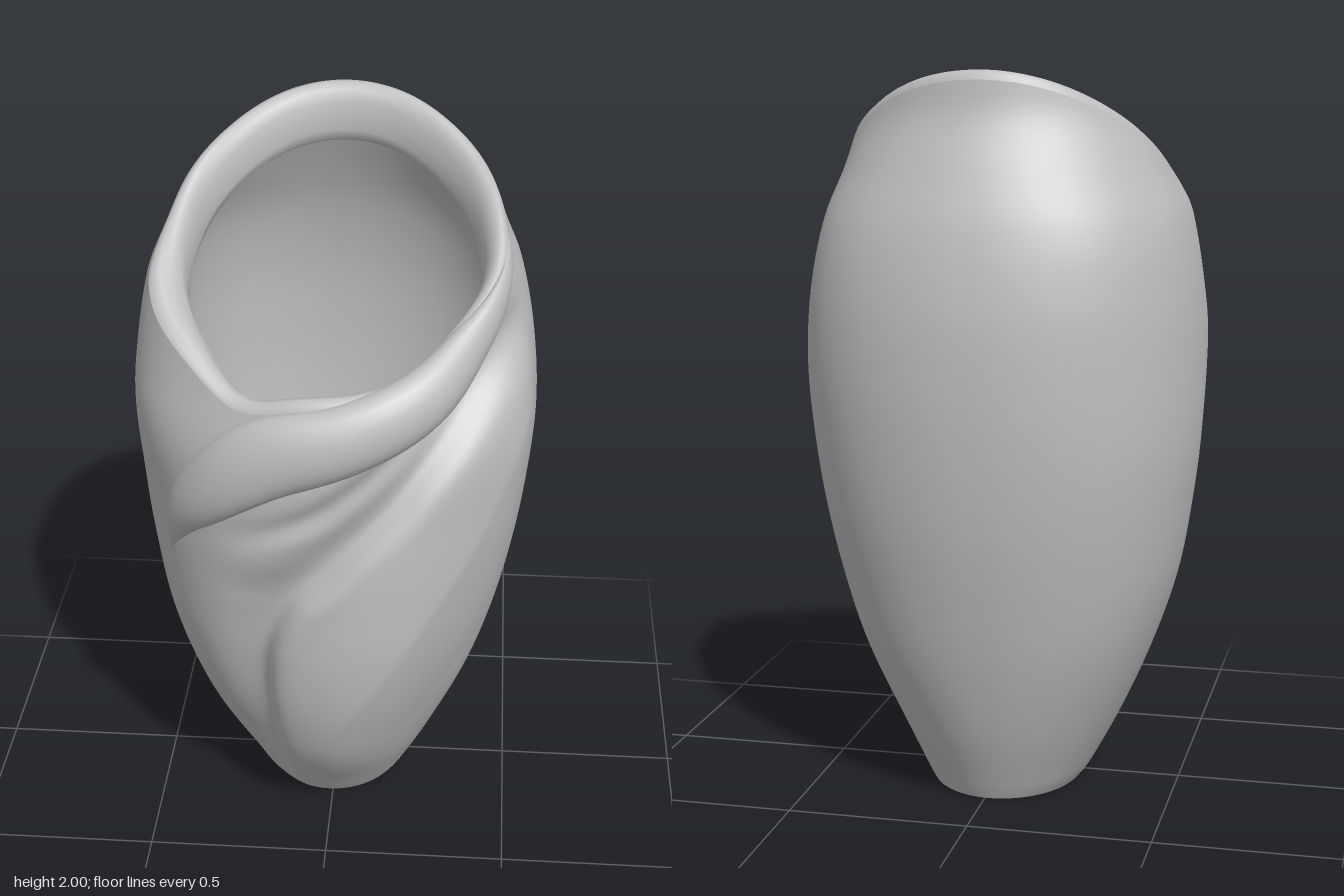
import * as THREE from 'three';

// Smooth interpolation through [position, value] pairs
function curve(pts) {
  const slope = (i) => {
    const a = pts[Math.max(0, i - 1)], b = pts[Math.min(pts.length - 1, i + 1)];
    return (b[1] - a[1]) / (b[0] - a[0]);
  };
  return (y) => {
    const x = Math.min(Math.max(y, pts[0][0]), pts[pts.length - 1][0]);
    let i = 0;
    while (i < pts.length - 2 && x > pts[i + 1][0]) i++;
    const [x0, v0] = pts[i], [x1, v1] = pts[i + 1], h = x1 - x0, t = (x - x0) / h;
    const a = t * t * (3 - 2 * t);
    return v0 + (v1 - v0) * a + h * t * (1 - t) * ((1 - t) * slope(i) - t * slope(i + 1));
  };
}
const smooth = THREE.MathUtils.smoothstep;
const gauss = (d, w) => Math.exp(-d * d / (w * w));

// Body outline: height, left, right, back, front
const outline = [
  [0, -0.22, 0.2, -0.29, 0.22], [0.03, -0.245, 0.218, -0.305, 0.245],
  [0.2, -0.335, 0.3, -0.375, 0.36], [0.4, -0.42, 0.39, -0.435, 0.445],
  [0.6, -0.485, 0.455, -0.48, 0.49], [0.8, -0.522, 0.5, -0.515, 0.505],
  [1.0, -0.545, 0.53, -0.535, 0.51], [1.2, -0.546, 0.545, -0.541, 0.505],
  [1.4, -0.53, 0.53, -0.53, 0.46], [1.6, -0.495, 0.49, -0.49, 0.42],
  [1.74, -0.445, 0.44, -0.437, 0.4], [1.88, -0.41, 0.41, -0.375, 0.4],
  [2.0, -0.4, 0.4, -0.355, 0.4],
];
const [left, right, back, front] = [1, 2, 3, 4].map((k) => curve(outline.map((r) => [r[0], r[k]])));

// Sweeping fold lines across the front, as x for each height
const valleyA = curve([[0, -0.14], [0.3, -0.19], [0.6, -0.2], [0.8, -0.13], [0.93, 0], [1.12, 0.2], [1.35, 0.4], [1.55, 0.5]]);
const valleyB = curve([[0.8, -0.33], [0.98, -0.22], [1.1, -0.02], [1.26, 0.2], [1.43, 0.4], [1.6, 0.5]]);
const ridge = curve([[0, 0], [0.35, 0.02], [0.65, 0.2], [0.95, 0.4], [1.2, 0.5], [1.5, 0.6]]);
function across(line, x, y) {
  const s = (line(y + 0.03) - line(y - 0.03)) / 0.06;
  return (x - line(y)) / Math.hypot(1, s);
}
function folds(x, y, facing) {
  const a = across(valleyA, x, y), b = across(valleyB, x, y), c = across(ridge, x, y);
  const d = -0.06 * gauss(a, a < 0 ? 0.09 : 0.045) * smooth(y, -0.05, 0.25)
    - 0.025 * gauss(b, 0.04) * smooth(y, 0.95, 1.12)
    + 0.025 * Math.max(0, 1 - Math.abs(c) / 0.22) * smooth(y, 0.05, 0.3);
  return d * smooth(facing, 0.05, 0.45) * (1 - smooth(y, 1.35, 1.6));
}

// Fullness away from the plain oval: both back corners, and a flatter front corner
function fullness(angle, y) {
  const corners = 0.022 * gauss(Math.abs(angle) - 2.36, 0.5) - 0.018 * gauss(angle - 0.8, 0.4);
  return corners * smooth(y, 0, 0.5) * (1 - smooth(y, 1.5, 1.85));
}
// Swelling of the wrapped flap beside the mouth
const flap = (angle, y) => 0.045 * gauss(angle + 1.0, 0.42) * smooth(y, 0.95, 1.35) * (1 - smooth(y, 1.6, 1.85));

// Point on the wall at an angle (0 = front) and height, moved inward by inset
function wall(angle, y, inset = 0) {
  const s = Math.sin(angle), c = Math.cos(angle);
  const rx = (right(y) - left(y)) / 2, rz = (front(y) - back(y)) / 2;
  const cx = (right(y) + left(y)) / 2, cz = (front(y) + back(y)) / 2;
  const d = folds(cx + s * rx, y, c) + fullness(angle, y)
    + flap(angle, y) * Math.max(0, 1 - inset / 0.05) - inset;
  return new THREE.Vector3(cx + s * (rx + d), y, cz + c * (rz + d));
}

// Height of the slanted mouth at an angle
function mouth(angle) {
  let lo = 1, hi = 2;
  for (let i = 0; i < 30; i++) {
    const y = (lo + hi) / 2;
    if (y < 1.72 - 0.7 * wall(angle, y).z) lo = y; else hi = y;
  }
  return lo - 0.06 * gauss(angle + 0.45, 0.25);
}

// Skin over a list of closed rings with equal point counts
function loft(rings) {
  const n = rings[0].length, pos = [], index = [];
  rings.forEach((r) => r.forEach((p) => pos.push(p.x, p.y, p.z)));
  for (let j = 0; j < rings.length - 1; j++) {
    for (let i = 0; i < n; i++) {
      const a = j * n + i, b = j * n + (i + 1) % n;
      index.push(a, b, b + n, a, b + n, a + n);
    }
  }
  const g = new THREE.BufferGeometry();
  g.setAttribute('position', new THREE.Float32BufferAttribute(pos, 3));
  g.setIndex(index);
  g.computeVertexNormals();
  return g;
}

export function createModel() {
  const group = new THREE.Group();
  const clay = new THREE.MeshStandardMaterial({ color: 0xbebebe, side: THREE.DoubleSide });
  clay.name = 'grey clay';
  const add = (name, geometry) => {
    const mesh = new THREE.Mesh(geometry, clay);
    mesh.name = name;
    group.add(mesh);
  };

  const N = 192, ROWS = 84, FLOOR = 0.05;
  const angles = Array.from({ length: N }, (_, i) => {
    const a = (i / N) * Math.PI * 2;
    return a > Math.PI ? a - Math.PI * 2 : a;
  });
  const heights = angles.map(mouth);
  const ring = (fn) => angles.map((a, i) => fn(a, heights[i]));

  // Outer wall
  const outer = [];
  for (let j = 0; j <= ROWS; j++) outer.push(ring((a, h) => wall(a, h * j / ROWS)));

  // Rounded lip: [inset, height above the mouth], overhanging the inner wall
  const lip = [[0, 0], [0.006, 0.015], [0.018, 0.025], [0.034, 0.025], [0.05, 0.008],
    [0.062, -0.02], [0.068, -0.06], [0.07, -0.1], [0.064, -0.125], [0.05, -0.135]];
  const lipRings = lip.map(([inset, up]) => ring((a, h) => {
    const p = wall(a, h, inset);
    p.y += up;
    return p;
  }));

  // Inner wall down to the floor, thicker towards the base
  const inner = [];
  for (let j = 0; j <= 40; j++) {
    const t = j / 40;
    inner.push(ring((a, h) => wall(a, THREE.MathUtils.lerp(h - 0.135, FLOOR, t), 0.05 + 0.03 * smooth(t, 0.6, 1))));
  }
  add('outerWall', loft(outer));
  add('lip', loft(lipRings));
  add('innerWall', loft(inner));

  // Flat base and inner floor
  const disc = (rim, flip) => {
    const centre = rim.map(() => new THREE.Vector3(0, rim[0].y, -0.03));
    return loft(flip ? [centre, rim] : [rim, centre]);
  };
  add('base', disc(outer[0], true));
  add('innerFloor', disc(inner[40], false));

  // Rolled collar crossing the front: angle, height, half width, thickness
  const collar = [
    [1.5, 1.7, 0.015, 0.004], [1.15, 1.6, 0.038, 0.018], [0.85, 1.5, 0.062, 0.04],
    [0.5, 1.4, 0.083, 0.056], [0.1, 1.32, 0.095, 0.06], [-0.33, 1.245, 0.108, 0.06],
    [-0.66, 1.1, 0.085, 0.05], [-0.86, 0.97, 0.045, 0.032], [-0.98, 0.86, 0.004, 0.004],
  ];
  const along = [0, 1, 2, 3].map((k) => curve(collar.map((c, i) => [i, c[k]])));
  const STEPS = 72, SIDES = 24, rings = [];
  const centreAt = (t) => wall(along[0](t), along[1](t), 0.005);
  for (let j = 0; j <= STEPS; j++) {
    const t = (j / STEPS) * (collar.length - 1), angle = along[0](t), p = centreAt(t);
    const tangent = centreAt(t + 0.05).sub(centreAt(t - 0.05)).normalize();
    const out = new THREE.Vector3(Math.sin(angle), 0.15, Math.cos(angle));
    out.addScaledVector(tangent, -out.dot(tangent)).normalize();
    const up = out.clone().cross(tangent);
    rings.push(Array.from({ length: SIDES }, (_, i) => {
      const q = (i / SIDES) * Math.PI * 2;
      return p.clone().addScaledVector(up, Math.cos(q) * along[2](t))
        .addScaledVector(out, Math.sin(q) * along[3](t));
    }));
  }
  add('rolledCollar', loft(rings));
  return group;
}
